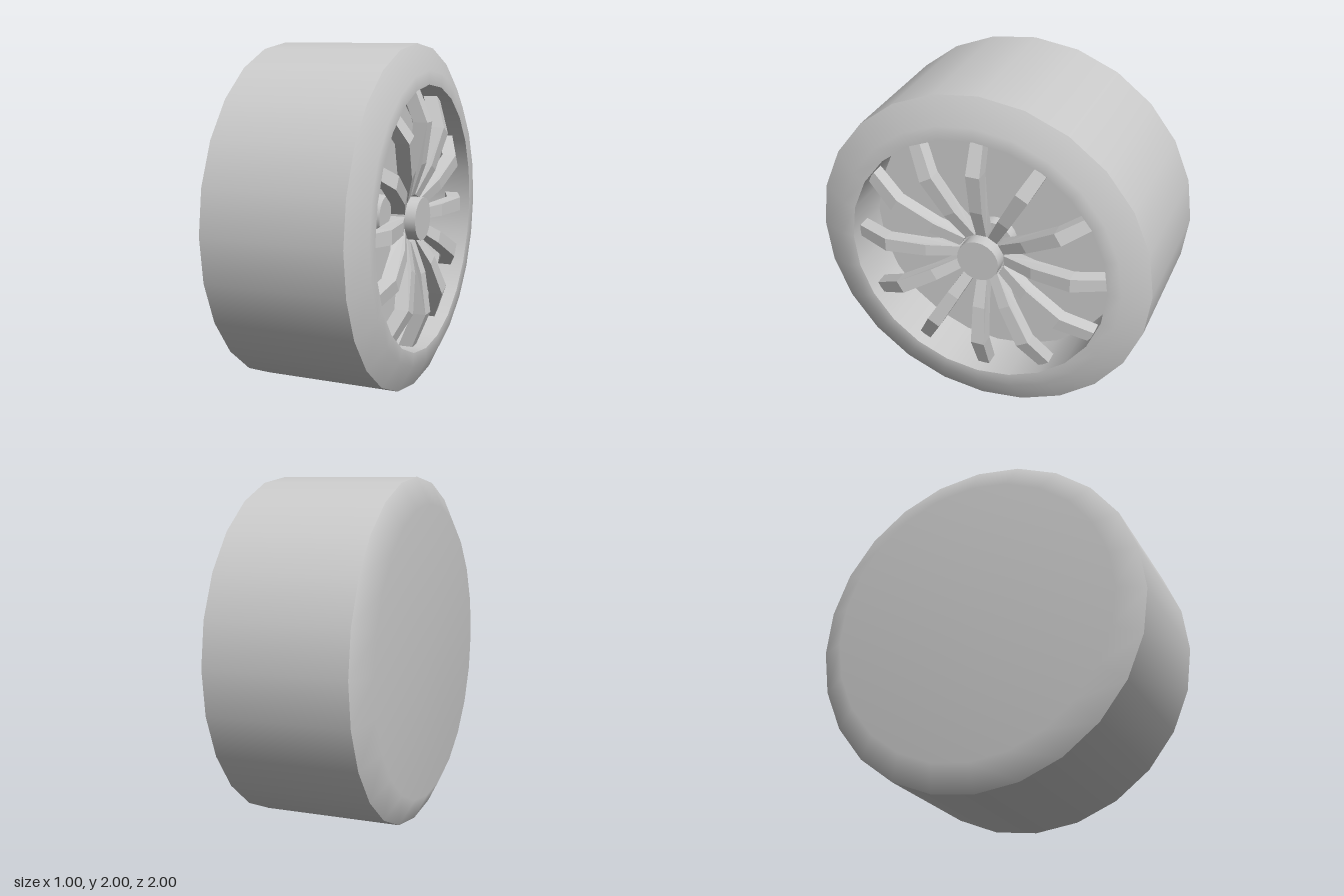
import * as THREE from 'three';

const SIDES = 24;
const SPOKES = 12;
const material = new THREE.MeshStandardMaterial({ color: 0xcccccc });

function add(parent, name, geometry) {
  const mesh = new THREE.Mesh(geometry, material);
  mesh.name = name;
  parent.add(mesh);
  return mesh;
}

// Surface of revolution about the x axis from [radius, x] points
function turned(points) {
  const profile = points.map(([r, x]) => new THREE.Vector2(r, x));
  return new THREE.LatheGeometry(profile, SIDES).rotateZ(-Math.PI / 2);
}

// Arched spoke running along +y, bulging toward +x, narrower at its ends
function spokeGeometry() {
  const front = [[0.135, 0.4], [0.32, 0.465], [0.56, 0.497], [0.77, 0.41]];
  const back = front.map(([r, x]) => [r, x - 0.085]).reverse();
  const shape = new THREE.Shape([...front, ...back].map(([r, x]) => new THREE.Vector2(x, r)));
  const geometry = new THREE.ExtrudeGeometry(shape, { depth: 1, bevelEnabled: false });
  geometry.translate(0, 0, -0.5);
  const pos = geometry.attributes.position;
  for (let i = 0; i < pos.count; i++) {
    const r = pos.getY(i);
    const width = r < 0.5 ? THREE.MathUtils.mapLinear(r, 0.135, 0.5, 0.06, 0.085) : THREE.MathUtils.mapLinear(r, 0.5, 0.77, 0.085, 0.072);
    pos.setZ(i, pos.getZ(i) * width);
  }
  geometry.computeVertexNormals();
  return geometry;
}

export function createModel() {
  const wheel = new THREE.Group();
  wheel.name = 'wheel';

  // Tyre: closed inner side, tread and open outer side
  const tyre = new THREE.Group();
  tyre.name = 'tyre';
  tyre.position.y = 1;
  wheel.add(tyre);
  add(tyre, 'innerSidewall', turned([[0, -0.5], [0.85, -0.5], [1, -0.42]]));
  add(tyre, 'tread', turned([[1, -0.42], [1, 0.415]]));
  add(tyre, 'outerSidewall', turned([[1, 0.415], [0.85, 0.49], [0.77, 0.49]]));

  // Recessed rim
  const rim = new THREE.Group();
  rim.name = 'rim';
  rim.position.y = 1;
  wheel.add(rim);
  add(rim, 'rimBarrel', turned([[0.77, 0.49], [0.77, 0.17]]));
  add(rim, 'rimFloor', turned([[0.77, 0.17], [0, 0.17]]));

  // Hub cap in front, axle stub on the floor behind it
  for (const [name, x, length] of [['hubCap', 0.42, 0.08], ['axleStub', 0.205, 0.07]]) {
    const geometry = new THREE.CylinderGeometry(0.125, 0.125, length, SIDES).rotateZ(-Math.PI / 2);
    add(rim, name, geometry).position.x = x;
  }

  // Spokes
  const spoke = spokeGeometry();
  for (let i = 0; i < SPOKES; i++) {
    add(rim, 'spoke', spoke).rotation.x = (i / SPOKES) * Math.PI * 2 + 0.01;
  }
  return wheel;
}
